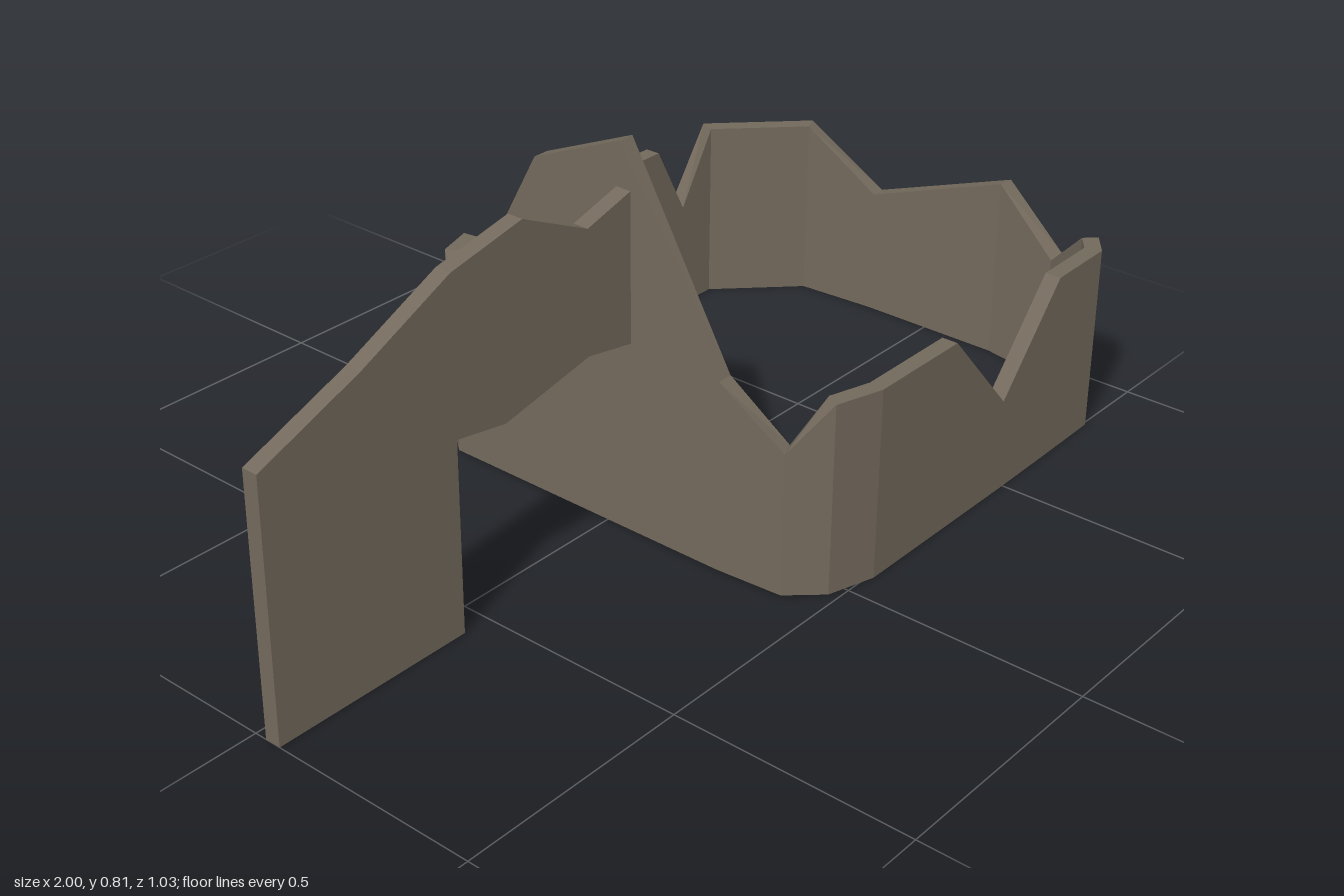
import * as THREE from 'three';

const THICK = 0.034;

// Outer foot line of the broken enclosure: x, z and the wall height there.
const sections = {
  frontWall: [
    [-0.095, 0.415, 0.3], [-0.035, 0.48, 0.4], [0.065, 0.51, 0.4], [0.3, 0.51, 0.4],
    [0.48, 0.51, 0.2], [0.66, 0.508, 0.4], [0.82, 0.505, 0.4], [0.87, 0.467, 0.4],
  ],
  rightWall: [
    [0.965, 0.34, 0.28], [0.998, 0.175, 0.4], [0.998, -0.155, 0.28], [0.985, -0.345, 0.4],
  ],
  backWall: [
    [0.81, -0.52, 0.4], [0.7, -0.52, 0.24], [0.615, -0.52, 0.4], [0.42, -0.52, 0.4],
    [0.21, -0.52, 0.3], [0.045, -0.52, 0.4], [-0.035, -0.495, 0.4],
  ],
  leftWall: [
    [-0.105, -0.405, 0.29], [-0.105, -0.175, 0.715], [-0.105, 0.035, 0.805], [-0.105, 0.27, 0.4],
  ],
};

// Outward normal of the foot line from a to b
function outward(a, b) {
  return new THREE.Vector2(a[1] - b[1], b[0] - a[0]).normalize();
}

// Mitred inner corner for point i of the closed ring
function innerPoint(ring, i) {
  const n = ring.length, p = ring[i];
  const n1 = outward(ring[(i + n - 1) % n], p);
  const n2 = outward(p, ring[(i + 1) % n]);
  const m = n1.clone().add(n2).normalize();
  m.multiplyScalar(THICK / m.dot(n1));
  return [p[0] - m.x, p[1] - m.y, p[2]];
}

// Solid wall pieces between ring points start and start + count
function wallGeometry(ring, inner, start, count) {
  const pos = [];
  const quad = (a, b, c, d) => pos.push(...a, ...b, ...c, ...a, ...c, ...d);
  const foot = (p) => [p[0], 0, p[1]];
  const crest = (p) => [p[0], p[2], p[1]];
  for (let k = start; k < start + count; k++) {
    const j = (k + 1) % ring.length;
    const a = ring[k], b = ring[j], c = inner[k], d = inner[j];
    quad(foot(a), foot(b), crest(b), crest(a)); // outside
    quad(foot(d), foot(c), crest(c), crest(d)); // inside
    quad(crest(a), crest(b), crest(d), crest(c)); // broken top
    quad(foot(c), foot(d), foot(b), foot(a)); // underside
  }
  const g = new THREE.BufferGeometry();
  g.setAttribute('position', new THREE.Float32BufferAttribute(pos, 3));
  g.computeVertexNormals();
  return g;
}

export function createModel() {
  const group = new THREE.Group();
  const stone = new THREE.MeshStandardMaterial({ color: 0x73695c });
  stone.name = 'weathered stone';

  // Enclosure walls
  const ring = Object.values(sections).flat();
  const inner = ring.map((_, i) => innerPoint(ring, i));
  let start = 0;
  for (const [name, pts] of Object.entries(sections)) {
    const wall = new THREE.Mesh(wallGeometry(ring, inner, start, pts.length), stone);
    wall.name = name;
    group.add(wall);
    start += pts.length;
  }

  // Side wall with an open passage beneath its bridge
  const profile = [
    [-1, 0], [-0.56, 0], [-0.56, 0.4], [-0.44, 0.38], [-0.22, 0.425], [-0.09, 0.403],
    [-0.09, 0.718], [-0.22, 0.68], [-0.385, 0.757], [-0.56, 0.72], [-0.77, 0.62], [-1, 0.53],
  ].map(([x, y]) => new THREE.Vector2(x, y));
  const armGeometry = new THREE.ExtrudeGeometry(new THREE.Shape(profile), {
    depth: THICK, bevelEnabled: false,
  });
  armGeometry.translate(0, 0, 0.026);
  const arm = new THREE.Mesh(armGeometry, stone);
  arm.name = 'archedSideWall';
  group.add(arm);

  return group;
}
